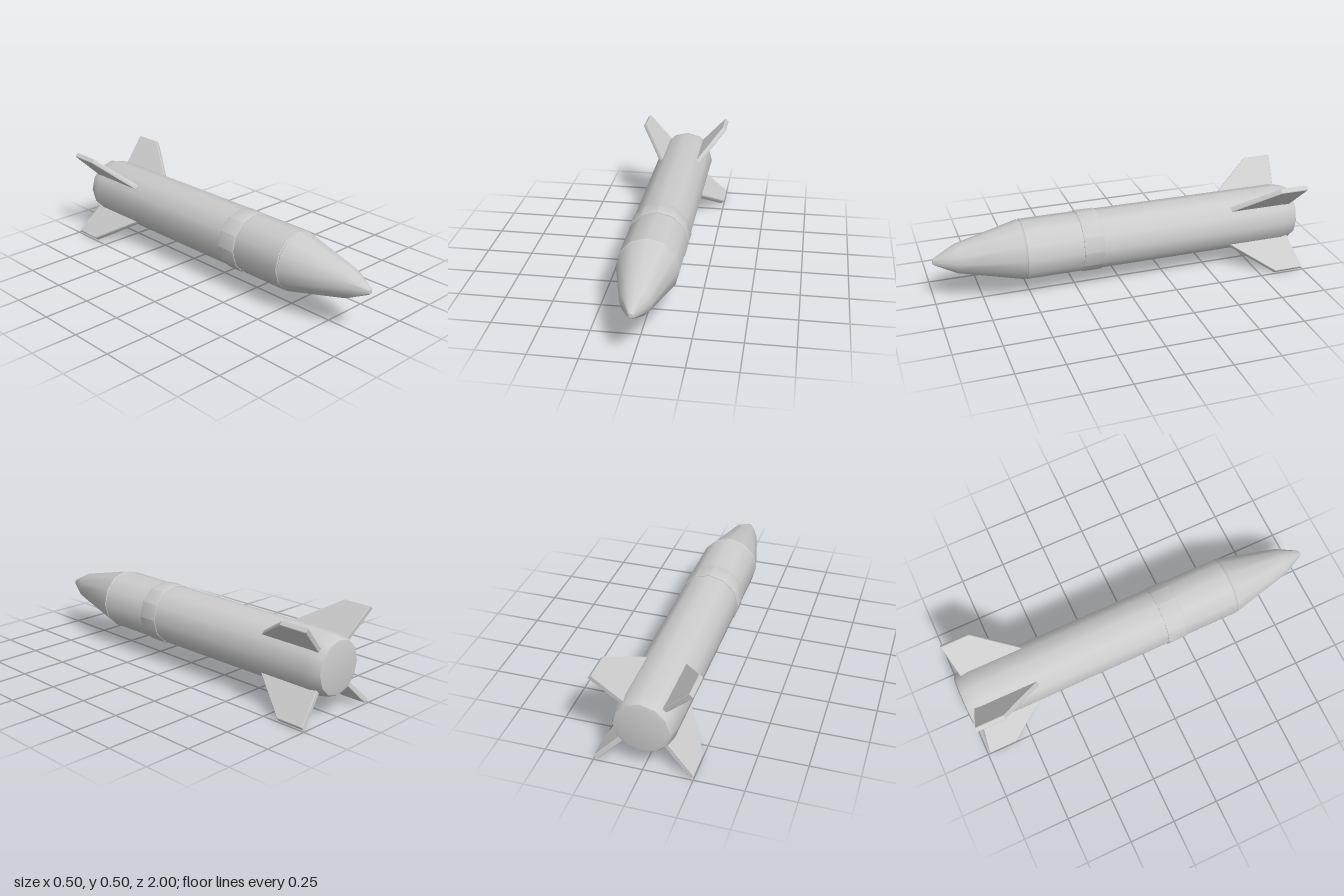
import * as THREE from 'three';
import { toCreasedNormals } from 'three/addons/utils/BufferGeometryUtils.js';

const SIDES = 12;
const AXIS_HEIGHT = 0.252;

export function createModel() {
  const model = new THREE.Group();
  model.name = 'rocket';
  const grey = new THREE.MeshStandardMaterial({ color: 0xcccccc });

  const addPart = (name, geometry, parent) => {
    const mesh = new THREE.Mesh(toCreasedNormals(geometry, 0.65), grey);
    mesh.name = name;
    parent.add(mesh);
    return mesh;
  };

  // Everything is centred on the long axis, then lifted to stand on the ground
  const rocket = new THREE.Group();
  rocket.name = 'rocketAssembly';
  rocket.position.y = AXIS_HEIGHT;
  model.add(rocket);

  // Profiles are [radius, z] pairs running from tail to nose
  const turned = (name, profile) => {
    const points = profile.map(([r, z]) => new THREE.Vector2(r, z));
    const geometry = new THREE.LatheGeometry(points, SIDES);
    geometry.rotateX(Math.PI / 2);
    return addPart(name, geometry, rocket);
  };

  // Main tube with a rounded tail
  turned('body', [
    [0, -1], [0.12, -1], [0.14, -0.995], [0.148, -0.982], [0.16, -0.92],
    [0.16, 0.528], [0.155, 0.534], [0, 0.534],
  ]);

  // Raised ring around the tube
  turned('band', [
    [0.158, 0.12], [0.163, 0.12], [0.165, 0.123],
    [0.165, 0.227], [0.163, 0.23], [0.158, 0.23],
  ]);

  // Tapered nose with a small blunt tip
  turned('noseCone', [
    [0, 0.53], [0.154, 0.53], [0.16, 0.538], [0.157, 0.548],
    [0.076, 0.878], [0.02, 0.988], [0.012, 0.998], [0, 1],
  ]);

  // Swept fin: shape x is distance from the axis, shape y is z
  const bevel = 0.003;
  const finShape = new THREE.Shape([
    [0.138, -0.955], [0.34, -0.987], [0.34, -0.836], [0.138, -0.595],
  ].map(([r, z]) => new THREE.Vector2(r, z)));
  const thickness = 0.027;
  const finGeometry = new THREE.ExtrudeGeometry(finShape, {
    depth: thickness - 2 * bevel,
    bevelEnabled: true, bevelSize: bevel, bevelThickness: bevel, bevelSegments: 1,
  });
  finGeometry.translate(0, 0, -thickness / 2 + bevel);
  finGeometry.rotateX(Math.PI / 2);

  // Four fins on the diagonals
  const fins = new THREE.Group();
  fins.name = 'fins';
  rocket.add(fins);
  for (let i = 0; i < 4; i++) {
    const fin = addPart(`fin${i + 1}`, finGeometry, fins);
    fin.rotation.z = Math.PI / 4 + (i * Math.PI) / 2;
  }

  return model;
}
